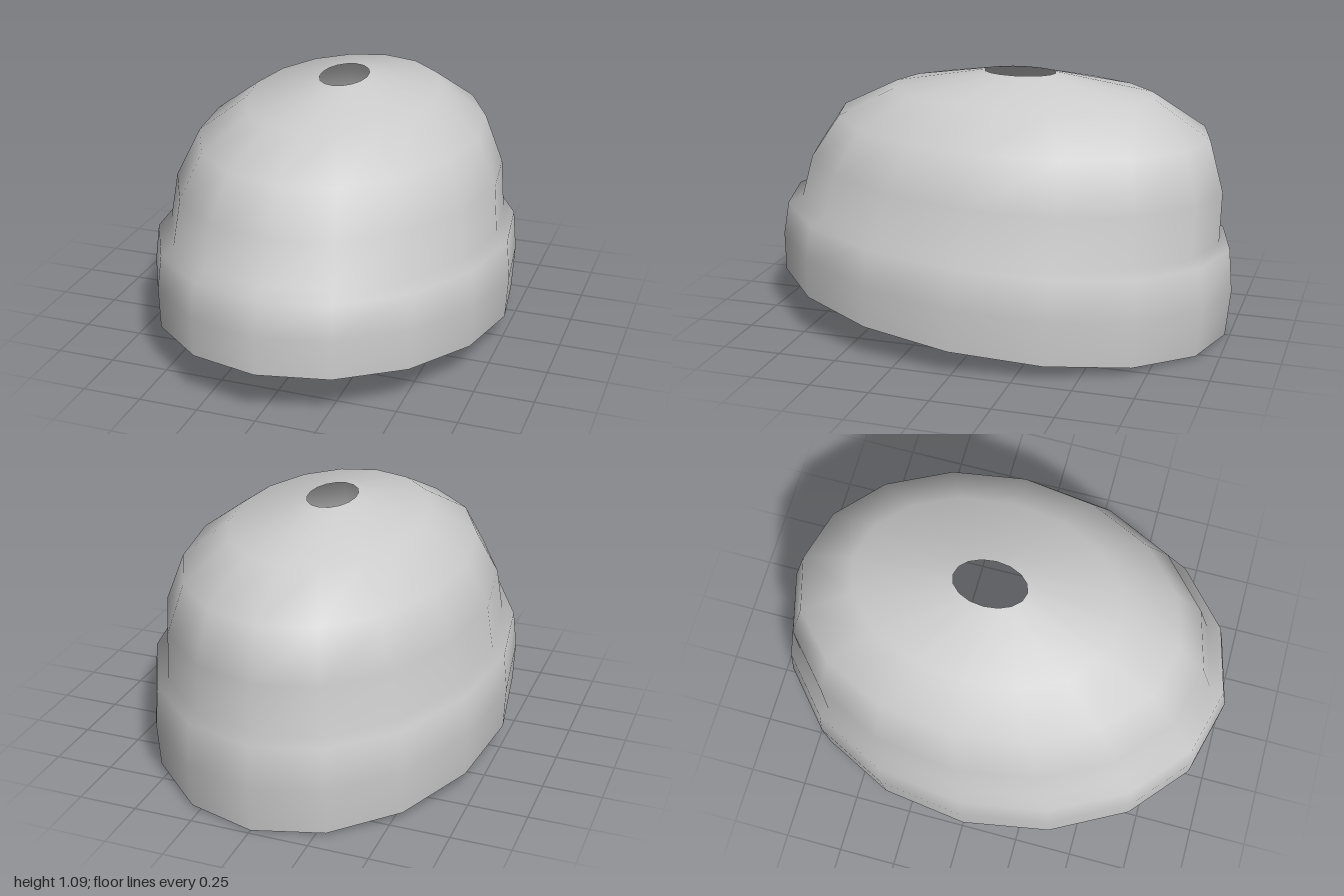
import * as THREE from 'three';

const SIDES = 16;

// Elliptical rings from brim to crown: half width, front z, front y, back z, back y
const RINGS = [
  [0.757, 0.998, 0.205, -0.98, 0.0],
  [0.766, 1.0, 0.37, -1.0, 0.2],
  [0.75, 0.975, 0.51, -0.985, 0.385],
  [0.7, 0.91, 0.54, -0.938, 0.41],
  [0.678, 0.86, 0.72, -0.945, 0.63],
  [0.59, 0.74, 0.895, -0.885, 0.85],
  [0.403, 0.495, 1.015, -0.65, 1.003],
  [0.1, 0.09, 1.09, -0.22, 1.09],
];

// Joins tilted rings into one smooth, open shell
function loftRings(rings) {
  const positions = [];
  const index = [];
  rings.forEach(([halfWidth, frontZ, frontY, backZ, backY], i) => {
    for (let j = 0; j < SIDES; j++) {
      const angle = (j / SIDES) * Math.PI * 2;
      const t = (1 + Math.cos(angle)) / 2;
      positions.push(
        halfWidth * Math.sin(angle),
        THREE.MathUtils.lerp(backY, frontY, t),
        THREE.MathUtils.lerp(backZ, frontZ, t),
      );
      if (i === rings.length - 1) continue;
      const next = (j + 1) % SIDES;
      const a = i * SIDES + j;
      const b = i * SIDES + next;
      index.push(a, b, b + SIDES, a, b + SIDES, a + SIDES);
    }
  });
  const geometry = new THREE.BufferGeometry();
  geometry.setAttribute('position', new THREE.Float32BufferAttribute(positions, 3));
  geometry.setIndex(index);
  geometry.computeVertexNormals();
  return geometry;
}

export function createModel() {
  const group = new THREE.Group();
  group.name = 'beanie';
  const fabric = new THREE.MeshStandardMaterial({ color: 0xcccccc, side: THREE.DoubleSide });
  fabric.name = 'light grey fabric';

  // Cuff, crown and the open hole on top are one continuous shell
  const shell = new THREE.Mesh(loftRings(RINGS), fabric);
  shell.name = 'cuffAndCrown';
  group.add(shell);
  return group;
}
